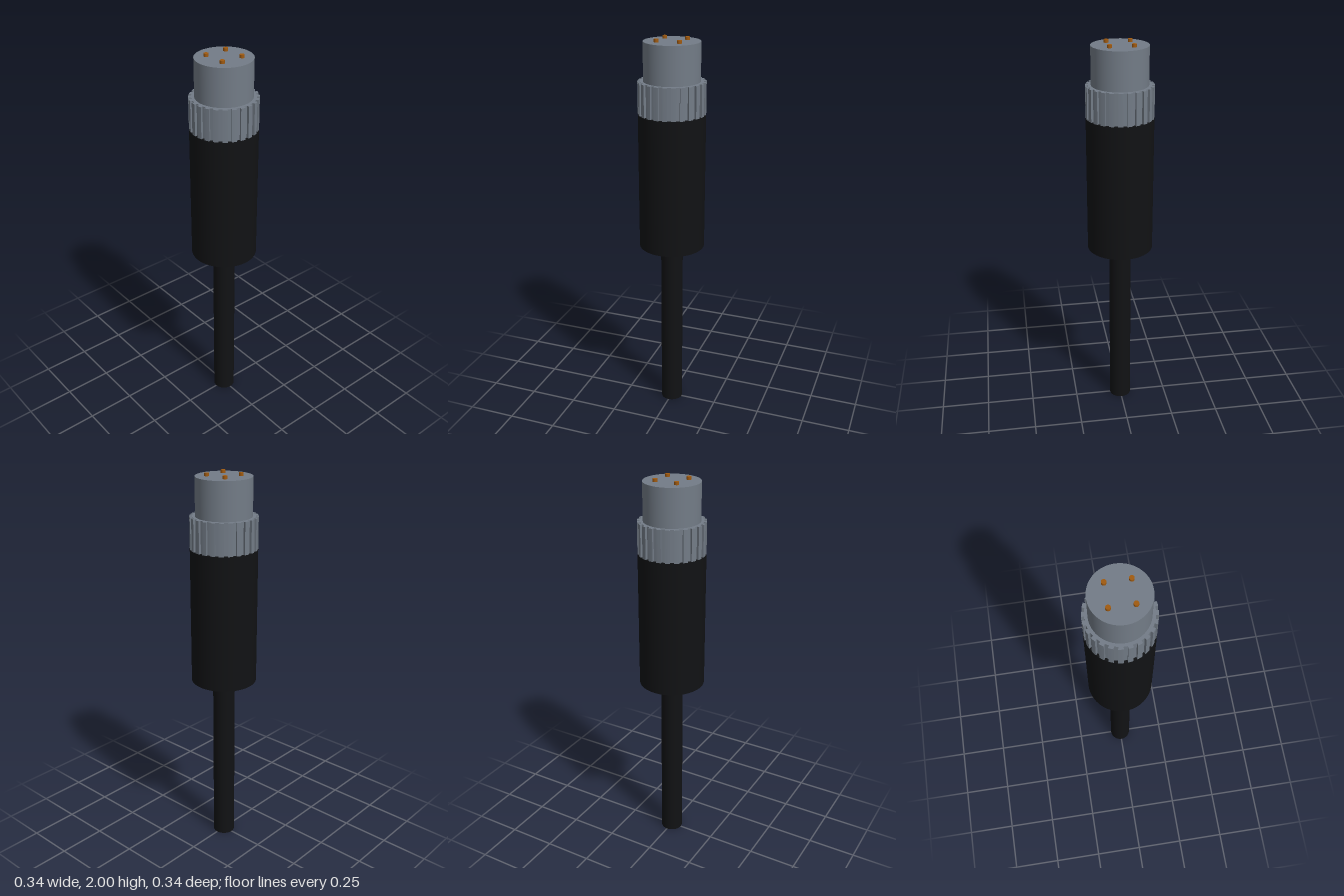
import * as THREE from 'three';
import { toCreasedNormals } from 'three/addons/utils/BufferGeometryUtils.js';

const black = new THREE.MeshStandardMaterial({ color: 0x111214 });
const steel = new THREE.MeshStandardMaterial({ color: 0x737c87 });
const copper = new THREE.MeshStandardMaterial({ color: 0xa05a10 });

// Upright cylinder between two heights
function rod(name, radius, y0, y1, material, x = 0, z = 0, sides = 64) {
  const mesh = new THREE.Mesh(new THREE.CylinderGeometry(radius, radius, y1 - y0, sides), material);
  mesh.position.set(x, (y0 + y1) / 2, z);
  mesh.name = name;
  return mesh;
}

// Ring with straight-walled grooves cut around its rim
function grooveRing(radius, floor, width, count, height) {
  const shape = new THREE.Shape();
  const half = width / 2;
  const edge = Math.asin(half / radius);
  const step = (Math.PI * 2) / count;
  for (let i = 0; i < count; i++) {
    const a = i * step;
    const c = Math.cos(a), s = Math.sin(a);
    const add = (r, t) => {
      const x = r * c - t * s, y = r * s + t * c;
      if (shape.curves.length === 0 && i === 0 && t < 0) shape.moveTo(x, y);
      else shape.lineTo(x, y);
    };
    add(floor, -half);
    add(floor, half);
    // Land between this groove and the next
    for (let k = 0; k <= 4; k++) {
      const b = a + edge + (k / 4) * (step - 2 * edge);
      shape.lineTo(radius * Math.cos(b), radius * Math.sin(b));
    }
  }
  shape.closePath();
  const geometry = new THREE.ExtrudeGeometry(shape, { depth: height, bevelEnabled: false });
  geometry.rotateX(-Math.PI / 2);
  return toCreasedNormals(geometry, 0.5);
}

export function createModel() {
  const model = new THREE.Group();
  model.name = 'cableConnector';

  // Cable and moulded body
  model.add(rod('cable', 0.057, 0, 0.935, black));
  model.add(rod('body', 0.168, 0.935, 1.635, black));

  // Grooved coupling collar
  const collar = new THREE.Mesh(grooveRing(0.168, 0.155, 0.019, 24, 0.16), steel);
  collar.position.y = 1.635;
  collar.name = 'collar';
  model.add(collar);

  // Plug nose
  model.add(rod('nose', 0.14, 1.79, 1.985, steel));

  // Four contact pins
  for (const x of [-0.058, 0.058]) {
    for (const z of [-0.058, 0.058]) {
      model.add(rod('pin', 0.0115, 1.97, 2, copper, x, z, 32));
    }
  }
  return model;
}
